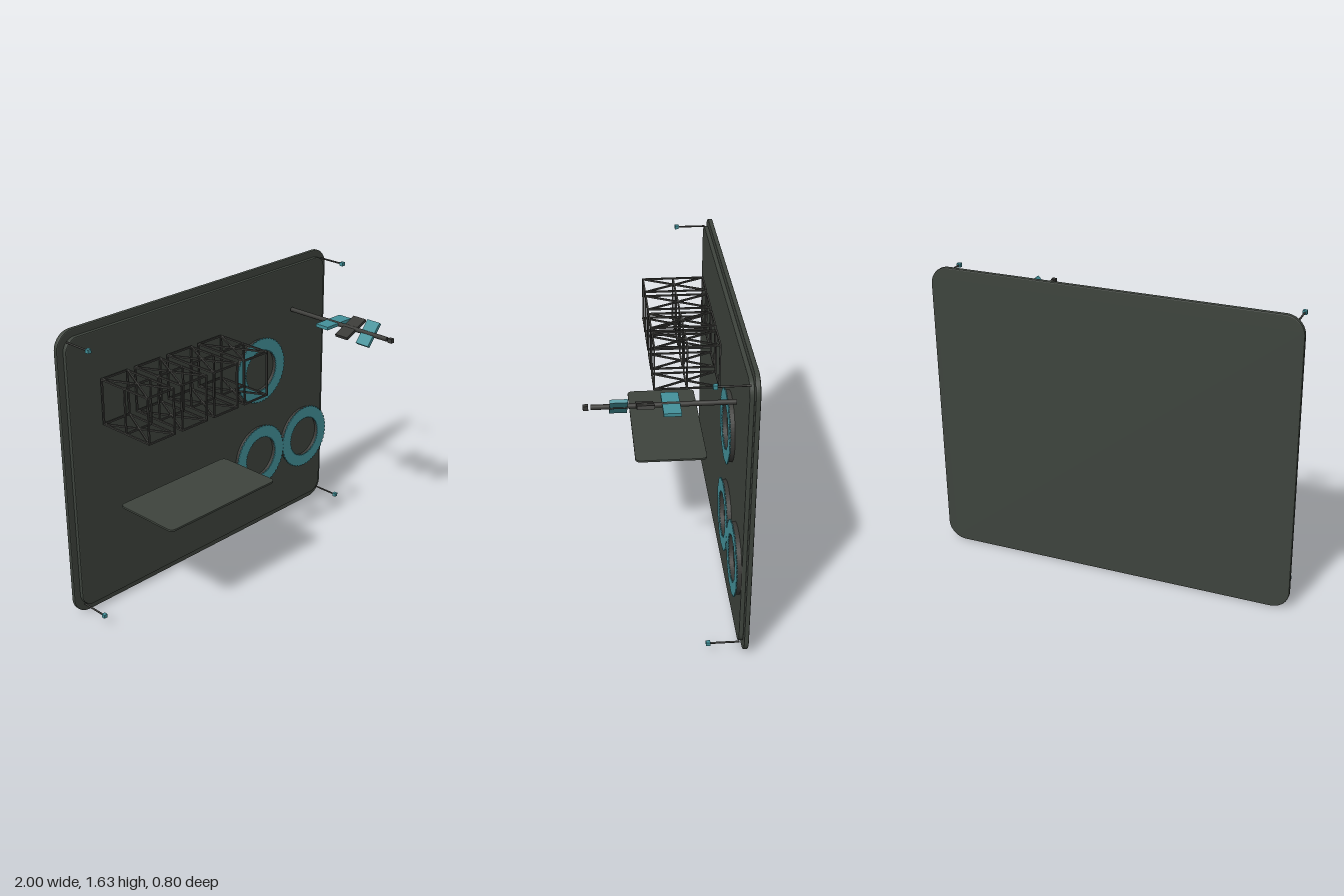
import * as THREE from 'three';

const panelMat = new THREE.MeshStandardMaterial({ color: 0x3e443d, name: 'panelGreenGrey' });
const darkMat = new THREE.MeshStandardMaterial({ color: 0x3a3a37, name: 'darkMetal' });
const tealMat = new THREE.MeshStandardMaterial({ color: 0x43919a, name: 'teal' });

function add(parent, name, geometry, material, x = 0, y = 0, z = 0) {
  const mesh = new THREE.Mesh(geometry, material);
  mesh.name = name;
  mesh.position.set(x, y, z);
  parent.add(mesh);
  return mesh;
}

// Rounded rectangular plate, lying in xy and spanning 0..depth in z
function roundedPlate(w, h, r, depth, bevel) {
  const x = w / 2 - bevel, y = h / 2 - bevel, s = new THREE.Shape();
  r -= bevel;
  s.absarc(x - r, y - r, r, 0, Math.PI / 2);
  s.absarc(-x + r, y - r, r, Math.PI / 2, Math.PI);
  s.absarc(-x + r, -y + r, r, Math.PI, Math.PI * 1.5);
  s.absarc(x - r, -y + r, r, Math.PI * 1.5, Math.PI * 2);
  const g = new THREE.ExtrudeGeometry(s, {
    depth: depth - 2 * bevel, bevelEnabled: bevel > 0, bevelThickness: bevel,
    bevelSize: bevel, bevelSegments: 2, curveSegments: 10,
  });
  return g.translate(0, 0, bevel);
}

// Flat ring; teeth > 0 gives finely notched inner and outer edges
function ringPlate(outer, inner, depth, teeth) {
  const loop = (r, notch) => {
    const pts = [], n = teeth ? teeth * 4 : 64;
    for (let i = 0; i < n; i++) {
      const a = (i / n) * Math.PI * 2, rr = teeth && i % 4 > 1 ? r - notch : r;
      pts.push(new THREE.Vector2(Math.cos(a) * rr, Math.sin(a) * rr));
    }
    return pts;
  };
  const s = new THREE.Shape(loop(outer, 0.006));
  s.holes.push(new THREE.Path(loop(inner, -0.006)));
  return new THREE.ExtrudeGeometry(s, { depth, bevelEnabled: false });
}

// Square bar between two points
function bar(parent, a, b, t) {
  const from = new THREE.Vector3(...a), to = new THREE.Vector3(...b);
  const mesh = add(parent, 'frameBar', new THREE.BoxGeometry(t, t, from.distanceTo(to) + t), darkMat);
  mesh.position.copy(from).lerp(to, 0.5);
  mesh.lookAt(to);
}

// Open wire cage with a middle hoop and crossed braces
function wireCage(w, h, d) {
  const g = new THREE.Group(), x = w / 2, y = h / 2, z = d / 2, t = 0.009;
  g.name = 'wireCage';
  for (const k of [-z, 0, z]) {
    for (const s of [-1, 1]) {
      bar(g, [s * x, -y, k], [s * x, y, k], t);
      bar(g, [-x, s * y, k], [x, s * y, k], t);
    }
  }
  for (const v of [-y, y]) {
    for (const s of [-1, 1]) {
      bar(g, [s * x, v, -z], [s * x, v, z], t);
      bar(g, [-s * x, v, -z], [s * x, v, z], t);
    }
  }
  return g;
}

export function createModel() {
  const model = new THREE.Group();
  model.name = 'wallPanel';

  // Back board and raised inner panel
  add(model, 'backBoard', roundedPlate(2, 1.626, 0.1, 0.025, 0.006), panelMat, 0, 0.813, -0.4);
  add(model, 'innerPanel', roundedPlate(1.926, 1.545, 0.075, 0.024, 0.005), panelMat, 0, 0.816, -0.376);

  // Corner pins with small caps
  for (const x of [-0.945, 0.945]) {
    for (const y of [0.06, 1.572]) {
      const pin = add(model, 'cornerPin', new THREE.CylinderGeometry(0.005, 0.005, 0.16, 10), darkMat, x, y, -0.28);
      pin.rotation.x = Math.PI / 2;
      add(model, 'pinCap', new THREE.BoxGeometry(0.021, 0.021, 0.022), tealMat, x, y, -0.197);
    }
  }

  // Row of wire cages
  for (let i = 0; i < 4; i++) {
    const cage = wireCage(0.172, 0.248, 0.346);
    cage.position.set(-0.678 + i * 0.226, 1.205, -0.16);
    model.add(cage);
  }

  // Shelf
  const shelf = add(model, 'shelf', roundedPlate(0.776, 0.4, 0.03, 0.012, 0.002), panelMat, -0.338, 0.599, -0.086);
  shelf.rotation.x = -Math.PI / 2;

  // Rings: dark base with a notched teal face
  for (const [x, y] of [[0.4, 1.03], [0.4, 0.48], [0.786, 0.48]]) {
    add(model, 'ringBase', ringPlate(0.186, 0.128, 0.024, 0), darkMat, x, y, -0.353);
    add(model, 'ringFace', ringPlate(0.197, 0.12, 0.005, 48), tealMat, x, y, -0.329);
  }

  // Spindle with a detached tip and three twisted blades
  const spindle = new THREE.Group();
  spindle.name = 'spindle';
  spindle.position.set(0.672, 1.33, 0);
  model.add(spindle);
  const rod = add(spindle, 'rod', new THREE.CylinderGeometry(0.013, 0.013, 0.7, 16), darkMat, 0, 0, 0.012);
  rod.rotation.x = Math.PI / 2;
  add(spindle, 'rodTip', new THREE.BoxGeometry(0.024, 0.024, 0.026), darkMat, 0, 0, 0.387);
  const blades = [
    [0.204, -0.022, 0, tealMat],
    [0.172, 0.103, 0.4, darkMat],
    [0.148, 0.23, 0.86, tealMat],
  ];
  for (const [length, z, angle, mat] of blades) {
    add(spindle, 'blade', new THREE.BoxGeometry(length, 0.018, 0.086), mat, 0, 0, z).rotation.z = angle;
  }
  return model;
}
